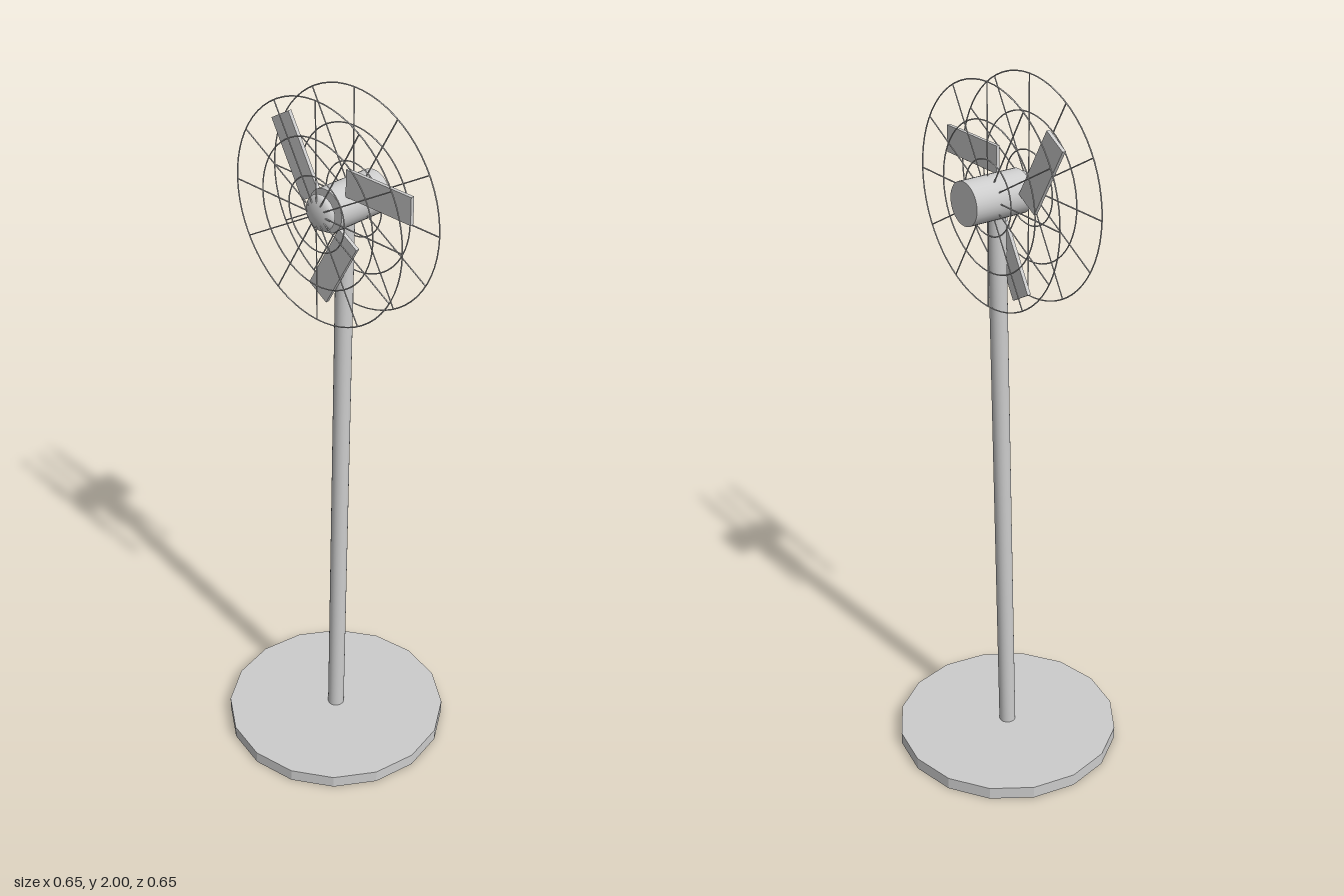
import * as THREE from 'three';

export function createModel() {
  const group = new THREE.Group();
  const grey = new THREE.MeshStandardMaterial({ color: 0xcccccc });
  grey.name = 'light grey';
  const flatGrey = grey;

  const add = (parent, name, geometry, x = 0, y = 0, z = 0, material = grey) => {
    const mesh = new THREE.Mesh(geometry, material);
    mesh.name = name;
    mesh.position.set(x, y, z);
    parent.add(mesh);
    return mesh;
  };

  // Faceted floor plate
  const baseGeometry = new THREE.CylinderGeometry(0.325, 0.325, 0.037, 16).toNonIndexed();
  baseGeometry.computeVertexNormals();
  add(group, 'base', baseGeometry, 0, 0.0185, 0, flatGrey);

  // Pole leaning slightly back
  const foot = new THREE.Vector3(0, 0.03, 0);
  const top = new THREE.Vector3(0, 1.68, -0.034);
  const lean = top.clone().sub(foot);
  const pole = add(group, 'pole', new THREE.CylinderGeometry(0.024, 0.024, lean.length(), 24));
  pole.position.copy(foot).add(top).multiplyScalar(0.5);
  pole.quaternion.setFromUnitVectors(new THREE.Vector3(0, 1, 0), lean.normalize());

  // Fan head, centred on the blade axis
  const head = new THREE.Group();
  head.name = 'fanHead';
  head.position.y = 1.703;
  group.add(head);

  add(head, 'motorHousing', new THREE.CylinderGeometry(0.058, 0.058, 0.17, 32).rotateX(Math.PI / 2), 0, 0, -0.049);
  add(head, 'hubCap', new THREE.SphereGeometry(0.048, 32, 16).rotateX(Math.PI / 2).scale(1, 1, 0.41), 0, 0, 0.053);

  // Three blades, each offset to one side of its radius
  for (let i = 0; i < 3; i++) {
    const blade = add(head, 'blade', new THREE.BoxGeometry(0.22, 0.073, 0.01).translate(0.15, 0.077, 0));
    blade.rotation.z = (i * Math.PI * 2) / 3;
  }

  // Front and rear wire guards: three rings and twelve spokes
  const wire = 0.0018;
  for (const [name, z] of [['frontGuard', 0.067], ['rearGuard', -0.061]]) {
    const guard = new THREE.Group();
    guard.name = name;
    guard.position.z = z;
    head.add(guard);
    for (const radius of [0.099, 0.197, 0.295]) {
      add(guard, 'guardRing', new THREE.TorusGeometry(radius, wire, 6, 64));
    }
    for (let i = 0; i < 12; i++) {
      const spoke = add(guard, 'guardSpoke', new THREE.CylinderGeometry(wire, wire, 0.295, 6).translate(0, 0.1475, 0));
      spoke.rotation.z = (i * Math.PI) / 6;
    }
  }
  return group;
}
